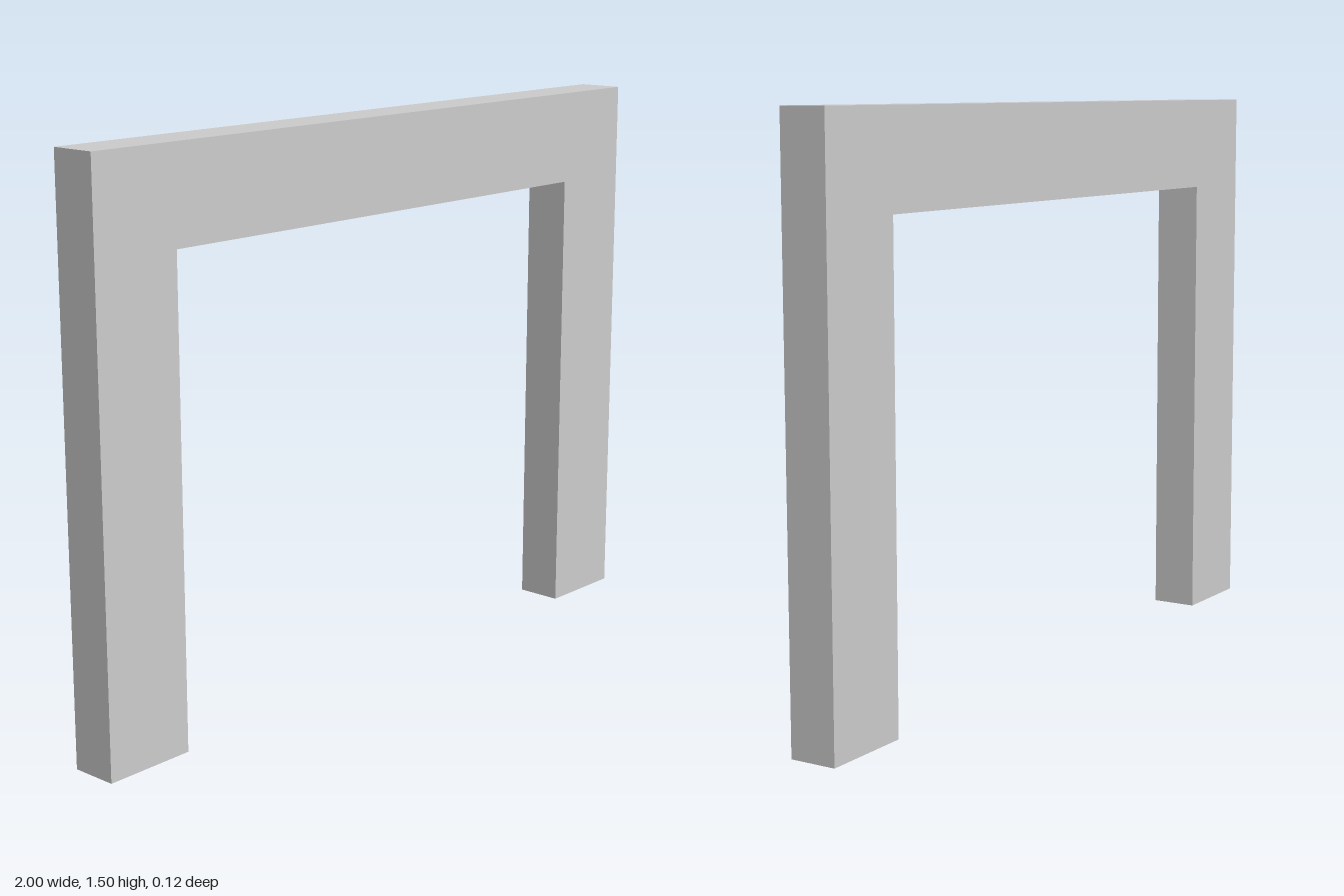
import * as THREE from 'three';

const WIDTH = 2, HEIGHT = 1.5, BEAM = 0.25, DEPTH = 0.125;

export function createModel() {
  const group = new THREE.Group();
  group.name = 'doorFrame';

  // Two posts and a lintel as one continuous outline, counter-clockwise
  const outer = WIDTH / 2, inner = outer - BEAM, soffit = HEIGHT - BEAM;
  const outline = new THREE.Shape([
    [-outer, 0], [-inner, 0], [-inner, soffit], [inner, soffit],
    [inner, 0], [outer, 0], [outer, HEIGHT], [-outer, HEIGHT],
  ].map(([x, y]) => new THREE.Vector2(x, y)));

  // Extrude to the frame's thickness and centre it on z
  const geometry = new THREE.ExtrudeGeometry(outline, { depth: DEPTH, bevelEnabled: false });
  geometry.translate(0, 0, -DEPTH / 2);

  const frame = new THREE.Mesh(geometry, new THREE.MeshStandardMaterial({ color: 0xcccccc }));
  frame.name = 'postsAndLintel';
  group.add(frame);
  return group;
}
